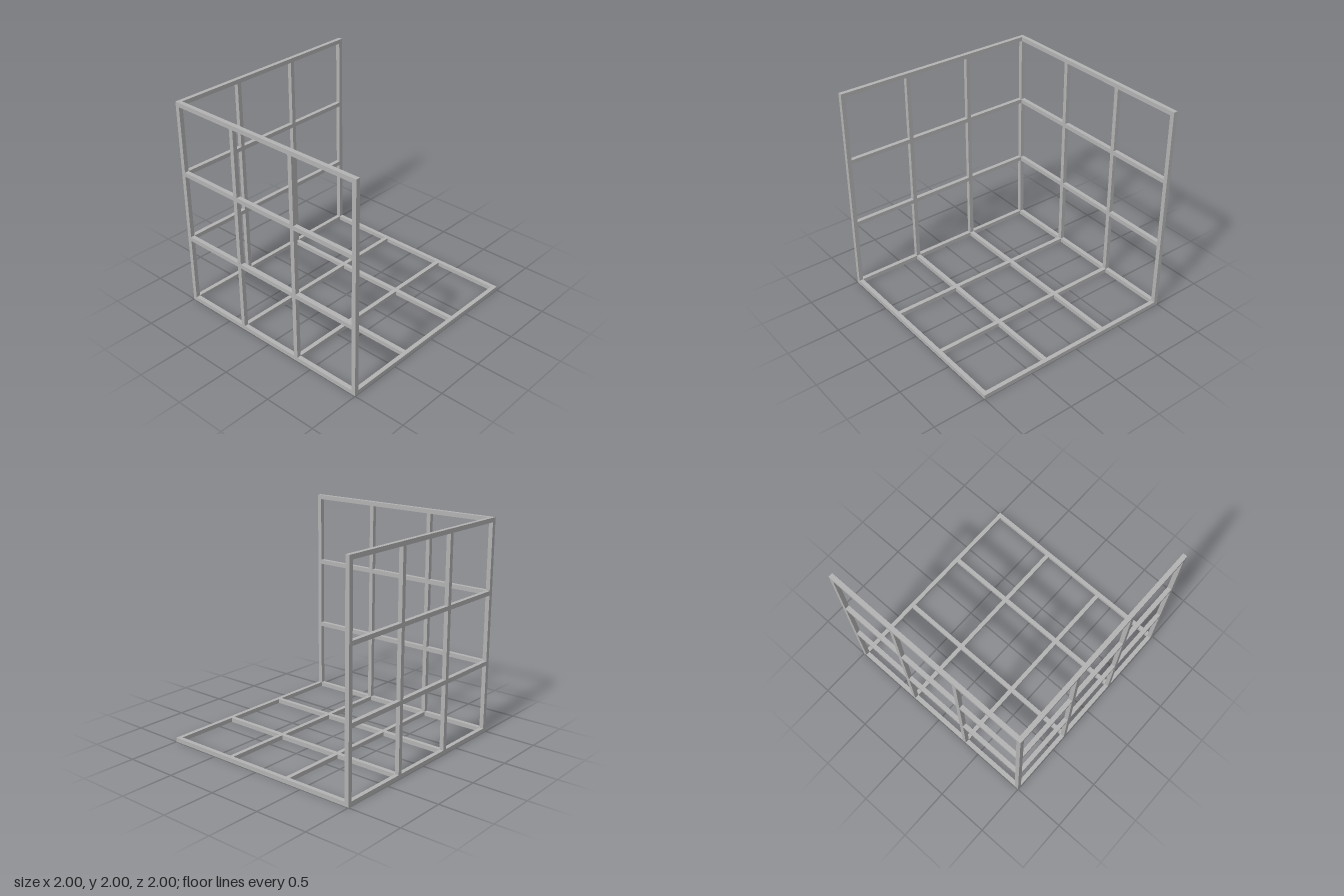
import * as THREE from 'three';

const SIZE = 2, BAR = 0.04, CELLS = 3;

// Closed rectangle path, used for the panel outline and its openings
function rectangle(path, x, y, w, h) {
  path.moveTo(x, y);
  path.lineTo(x + w, y);
  path.lineTo(x + w, y + h);
  path.lineTo(x, y + h);
  path.closePath();
  return path;
}

// Square lattice of bars: a plate with a grid of openings
function latticeGeometry() {
  const half = SIZE / 2;
  const pitch = (SIZE - BAR) / CELLS;
  const shape = rectangle(new THREE.Shape(), -half, -half, SIZE, SIZE);
  for (let i = 0; i < CELLS; i++) {
    for (let j = 0; j < CELLS; j++) {
      shape.holes.push(rectangle(new THREE.Path(),
        -half + BAR + i * pitch, -half + BAR + j * pitch, pitch - BAR, pitch - BAR));
    }
  }
  return new THREE.ExtrudeGeometry(shape, { depth: BAR, bevelEnabled: false });
}

export function createModel() {
  const model = new THREE.Group();
  model.name = 'latticeCorner';
  const grey = new THREE.MeshStandardMaterial({ color: 0xb4b4b4 });
  grey.name = 'grey';
  const lattice = latticeGeometry();

  const addPanel = (name, position, rotation) => {
    const panel = new THREE.Mesh(lattice, grey);
    panel.name = name;
    panel.position.set(...position);
    panel.rotation.set(...rotation);
    model.add(panel);
  };

  // Three panels meeting at one corner
  addPanel('floorLattice', [0, 0, 0], [-Math.PI / 2, 0, 0]);
  addPanel('frontLattice', [0, SIZE / 2, SIZE / 2 - BAR], [0, 0, 0]);
  addPanel('rightLattice', [-SIZE / 2, SIZE / 2, 0], [0, Math.PI / 2, 0]);

  return model;
}
